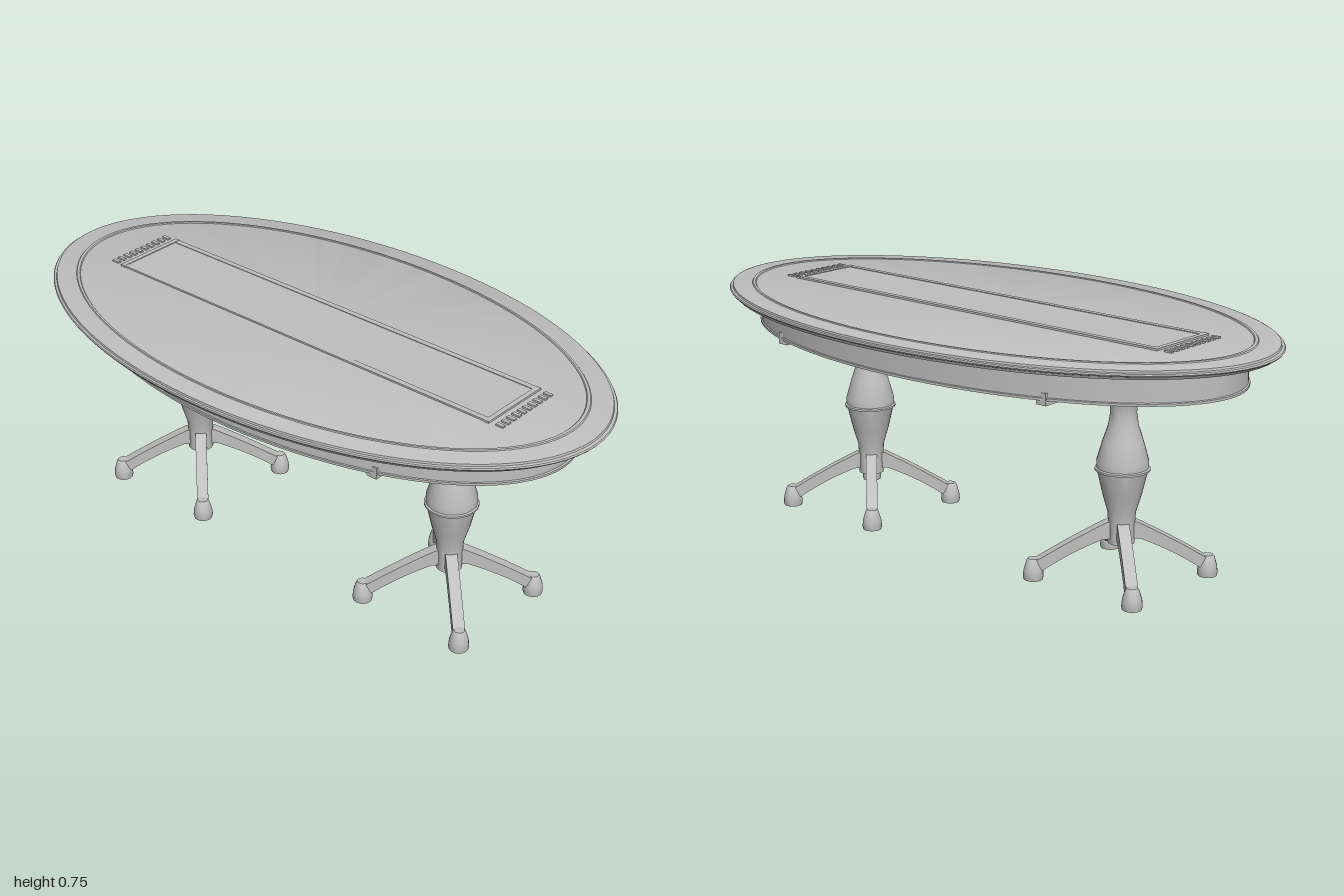
import * as THREE from 'three';
import { toCreasedNormals } from 'three/addons/utils/BufferGeometryUtils.js';

const wood = new THREE.MeshStandardMaterial({ color: 0xbfbfbf });
wood.name = 'grey';

function add(parent, name, geometry, x = 0, y = 0, z = 0) {
  const mesh = new THREE.Mesh(geometry, wood);
  mesh.name = name;
  mesh.position.set(x, y, z);
  parent.add(mesh);
  return mesh;
}

// Revolved profile of [radius, y] pairs, squashed in z to make an oval.
function turned(points, segments, zScale = 1) {
  const geo = new THREE.LatheGeometry(points.map(p => new THREE.Vector2(...p)), segments);
  geo.scale(1, 1, zScale);
  return toCreasedNormals(geo, 0.6);
}

// Pedestal: turned column with four arched diagonal legs.
function pedestal(x) {
  const group = new THREE.Group();
  group.name = 'pedestal';
  group.position.x = x;

  add(group, 'column', turned([
    [0, 0.11], [0.04, 0.11], [0.04, 0.17], [0.042, 0.205], [0.058, 0.26], [0.075, 0.333],
    [0.082, 0.335], [0.082, 0.341], [0.077, 0.344], [0.077, 0.365], [0.06, 0.425],
    [0.045, 0.47], [0.039, 0.51], [0.042, 0.54], [0.052, 0.572], [0.059, 0.574],
    [0.059, 0.58], [0.056, 0.583], [0.065, 0.615], [0.065, 0.627], [0, 0.627]], 24));

  // Side outline of one leg: distance from the column, height.
  const outline = new THREE.Shape();
  outline.moveTo(0.02, 0.125);
  outline.lineTo(0.055, 0.125);
  outline.quadraticCurveTo(0.155, 0.085, 0.235, 0.03);
  outline.lineTo(0.255, 0.06);
  outline.quadraticCurveTo(0.15, 0.125, 0.045, 0.177);
  outline.lineTo(0.02, 0.177);
  const legGeo = new THREE.ExtrudeGeometry(outline, { depth: 0.036, bevelEnabled: false, curveSegments: 8 });
  legGeo.translate(0, 0, -0.018);
  const footGeo = turned([[0, 0], [0.029, 0], [0.031, 0.01], [0.029, 0.03],
    [0.021, 0.058], [0.016, 0.065], [0, 0.065]], 16);

  for (let i = 0; i < 4; i++) {
    const leg = new THREE.Group();
    leg.name = 'leg';
    leg.rotation.y = Math.PI / 4 + i * Math.PI / 2;
    add(leg, 'legArm', legGeo);
    add(leg, 'foot', footGeo, 0.26, 0, 0);
    group.add(leg);
  }

  // Bearer under the apron with a small upright tab at each end.
  add(group, 'crossBearer', new THREE.BoxGeometry(0.035, 0.016, 0.75), 0, 0.617, 0);
  for (const s of [-1, 1])
    add(group, 'bearerTab', new THREE.BoxGeometry(0.035, 0.036, 0.008), 0, 0.627, s * 0.371);
  return group;
}

// Fringed end of the runner.
function runnerEnd(side) {
  const group = new THREE.Group();
  group.name = 'runnerEnd';
  add(group, 'endBand', new THREE.BoxGeometry(0.016, 0.006, 0.245), side * 0.717, 0.752, 0);
  for (let i = 0; i < 10; i++)
    add(group, 'tassel', new THREE.BoxGeometry(0.026, 0.005, 0.012), side * 0.757, 0.7515, -0.111 + i * 0.0247);
  return group;
}

export function createModel() {
  const table = new THREE.Group();
  table.name = 'ovalTable';

  // Oval top with a rounded, beaded edge.
  add(table, 'tableTop', turned([
    [0, 0.72], [0.982, 0.72], [0.988, 0.728], [0.997, 0.73], [1, 0.734], [0.997, 0.738],
    [0.988, 0.74], [0.986, 0.746], [0.978, 0.748], [0, 0.748]], 96, 0.563));

  // Raised oval line inlaid near the edge.
  add(table, 'ovalTrim', turned([
    [0.922, 0.747], [0.918, 0.751], [0.908, 0.751], [0.904, 0.747]], 96, 0.535));

  // Hollow apron with a thin lip at its lower rim.
  add(table, 'apron', turned([
    [0.882, 0.623], [0.902, 0.623], [0.902, 0.63], [0.897, 0.632], [0.897, 0.722],
    [0.882, 0.722], [0.882, 0.623]], 96, 0.513));

  // Table runner with raised borders and fringes.
  add(table, 'runner', new THREE.BoxGeometry(1.42, 0.004, 0.24), 0, 0.7505, 0);
  for (const s of [-1, 1]) {
    add(table, 'runnerBorder', new THREE.BoxGeometry(1.42, 0.004, 0.018), 0, 0.7525, s * 0.112);
    table.add(runnerEnd(s));
    table.add(pedestal(s * 0.52));
  }

  // Long rail joining the two pedestals.
  add(table, 'longRail', new THREE.BoxGeometry(1.04, 0.02, 0.03), 0, 0.613, 0);
  return table;
}
